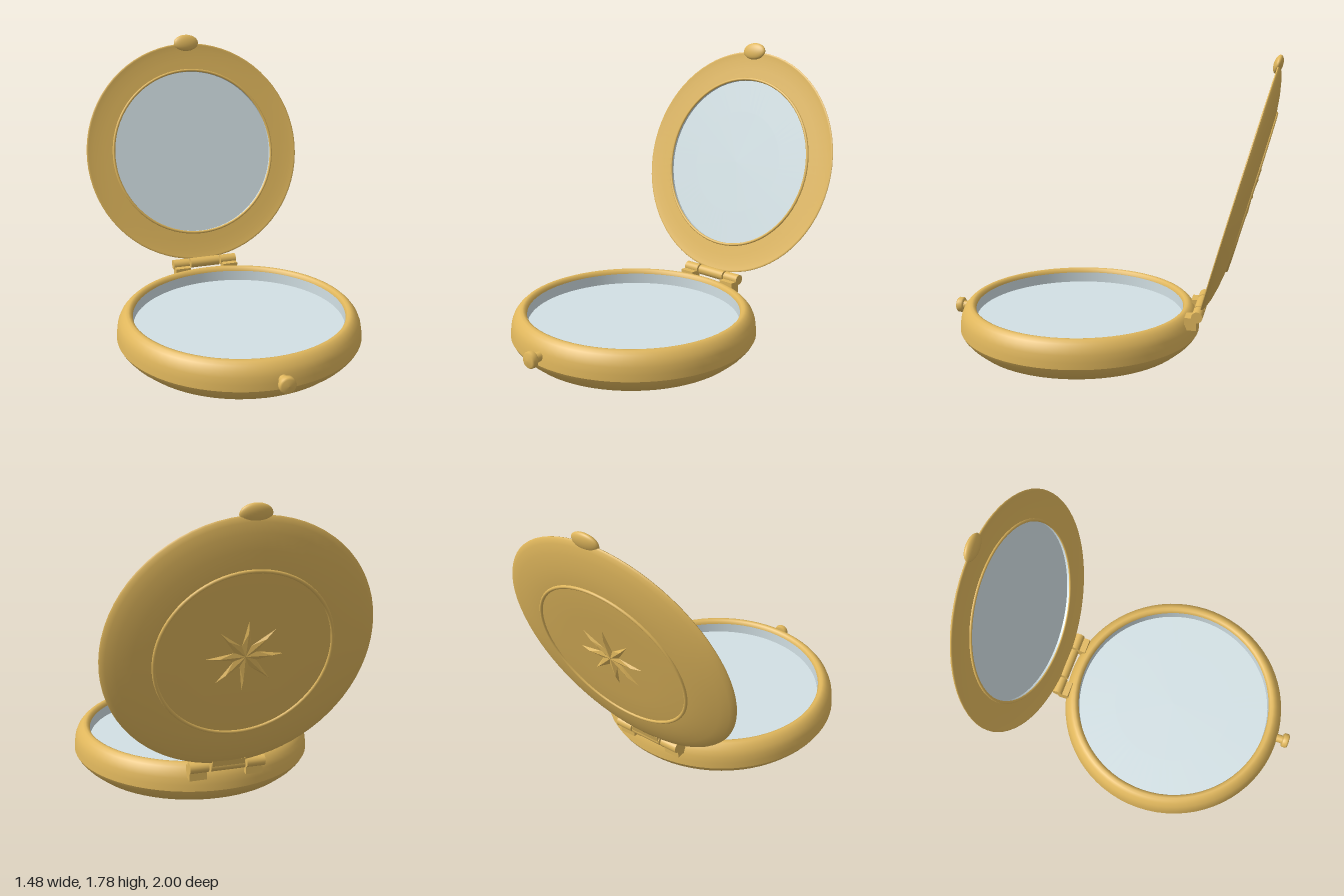
import * as THREE from 'three';

const gold = new THREE.MeshStandardMaterial({ color: 0xdfb65c });
gold.name = 'gold';
const glass = new THREE.MeshStandardMaterial({ color: 0xd2e0e4, side: THREE.DoubleSide });
glass.name = 'silver glass';

function add(parent, name, geometry, material, x = 0, y = 0, z = 0) {
  const mesh = new THREE.Mesh(geometry, material);
  mesh.name = name;
  mesh.position.set(x, y, z);
  parent.add(mesh);
  return mesh;
}

const lathe = (points) =>
  new THREE.LatheGeometry(points.map(([r, y]) => new THREE.Vector2(r, y)), 72);

// Flat mirror glass with an upright wall of height h around it
function addMirrorPan(parent, name, r, h, turned) {
  const pan = new THREE.Group();
  pan.name = name;
  if (turned) pan.rotation.x = Math.PI / 2;
  add(pan, 'mirrorGlass', lathe([[r, 0], [r * 0.62, 0], [0, 0]]), glass);
  add(pan, 'panWall', new THREE.CylinderGeometry(r, r, h, 72, 1, true), glass, 0, h / 2, 0);
  parent.add(pan);
  return pan;
}

// Raised eight-rayed star facing +z, each ray a ridge that is highest near its tip
function starGeometry() {
  const pos = [];
  const at = (a, r, z) => [Math.cos(a) * r, Math.sin(a) * r, z];
  for (let i = 0; i < 8; i++) {
    const a = (i / 8) * Math.PI * 2 + Math.PI / 2;
    const centre = [0, 0, 0.008];
    const before = at(a - Math.PI / 8, 0.065, 0);
    const after = at(a + Math.PI / 8, 0.065, 0);
    const ridge = at(a, 0.14, 0.014);
    const tip = at(a, 0.21, 0);
    for (const [p, q] of [[centre, before], [before, tip], [tip, after], [after, centre]]) {
      pos.push(...p, ...q, ...ridge);
    }
  }
  const g = new THREE.BufferGeometry();
  g.setAttribute('position', new THREE.Float32BufferAttribute(pos, 3));
  g.computeVertexNormals();
  return g;
}

function buildBase() {
  const base = new THREE.Group();
  base.name = 'base';
  base.position.z = 0.18;
  add(base, 'lowerShell', lathe([
    [0, 0], [0.5, 0], [0.6, 0.006], [0.657, 0.02], [0.704, 0.06], [0.73, 0.09], [0.742, 0.112],
  ]), gold);
  add(base, 'upperShell', lathe([
    [0.742, 0.112], [0.739, 0.15], [0.733, 0.19], [0.72, 0.222], [0.702, 0.245],
    [0.685, 0.26], [0.668, 0.265], [0.653, 0.26], [0.644, 0.245], [0.642, 0.235],
  ]), gold);
  addMirrorPan(base, 'baseMirror', 0.642, 0.067, false).position.y = 0.17;

  // Push button at the front
  const stem = new THREE.CylinderGeometry(0.027, 0.027, 0.08, 24).rotateX(Math.PI / 2);
  add(base, 'buttonStem', stem, gold, 0, 0.165, 0.74);
  const knob = lathe([
    [0, 0], [0.04, 0], [0.048, 0.008], [0.048, 0.033], [0.04, 0.043], [0, 0.046],
  ]).rotateX(Math.PI / 2);
  add(base, 'buttonKnob', knob, gold, 0, 0.165, 0.774);
  return base;
}

function buildLid() {
  const lid = new THREE.Group();
  lid.name = 'lid';
  lid.position.set(0, 1.008, -0.778);
  lid.rotation.x = -0.265;
  const turn = (g) => g.rotateX(Math.PI / 2);

  add(lid, 'lidBack', turn(lathe([
    [0, -0.077], [0.3, -0.077], [0.48, -0.073], [0.58, -0.06], [0.66, -0.043],
    [0.71, -0.026], [0.732, -0.014], [0.738, -0.005],
  ])), gold);
  // Slightly dished frame around the mirror
  add(lid, 'lidFrame', turn(lathe([
    [0.738, -0.005], [0.735, 0], [0.726, -0.001], [0.69, -0.006], [0.62, -0.009], [0.547, -0.01],
  ])), gold);
  add(lid, 'mirrorRing', new THREE.TorusGeometry(0.556, 0.009, 10, 72), gold, 0, 0, -0.009);
  addMirrorPan(lid, 'lidMirror', 0.547, 0.015, true).position.z = -0.024;

  // Back ornament
  add(lid, 'backRing', new THREE.TorusGeometry(0.476, 0.01, 10, 72), gold, 0, 0, -0.073);
  const star = add(lid, 'backStar', starGeometry(), gold, 0, 0, -0.0765);
  star.rotation.y = Math.PI;

  // Thumb catch
  const thumb = add(lid, 'thumbCatch', new THREE.SphereGeometry(1, 28, 18), gold, 0, 0.741, 0);
  thumb.scale.set(0.085, 0.055, 0.026);
  return lid;
}

function buildHinge() {
  const hinge = new THREE.Group();
  hinge.name = 'hinge';
  hinge.position.set(0, 0.277, -0.575);
  const barrel = (length) =>
    new THREE.CylinderGeometry(0.033, 0.033, length, 24).rotateZ(Math.PI / 2);
  add(hinge, 'middleKnuckle', barrel(0.2), gold);
  const tab = add(hinge, 'lidTab', new THREE.BoxGeometry(0.19, 0.05, 0.02), gold, 0, 0.02, -0.026);
  tab.rotation.x = -0.265;
  for (const side of [-1, 1]) {
    add(hinge, 'sideKnuckle', barrel(0.108), gold, side * 0.166, 0, 0);
    add(hinge, 'baseTab', new THREE.BoxGeometry(0.1, 0.075, 0.07), gold, side * 0.166, -0.045, 0.038);
  }
  return hinge;
}

export function createModel() {
  const model = new THREE.Group();
  model.name = 'compactMirror';
  model.add(buildBase(), buildLid(), buildHinge());
  return model;
}
